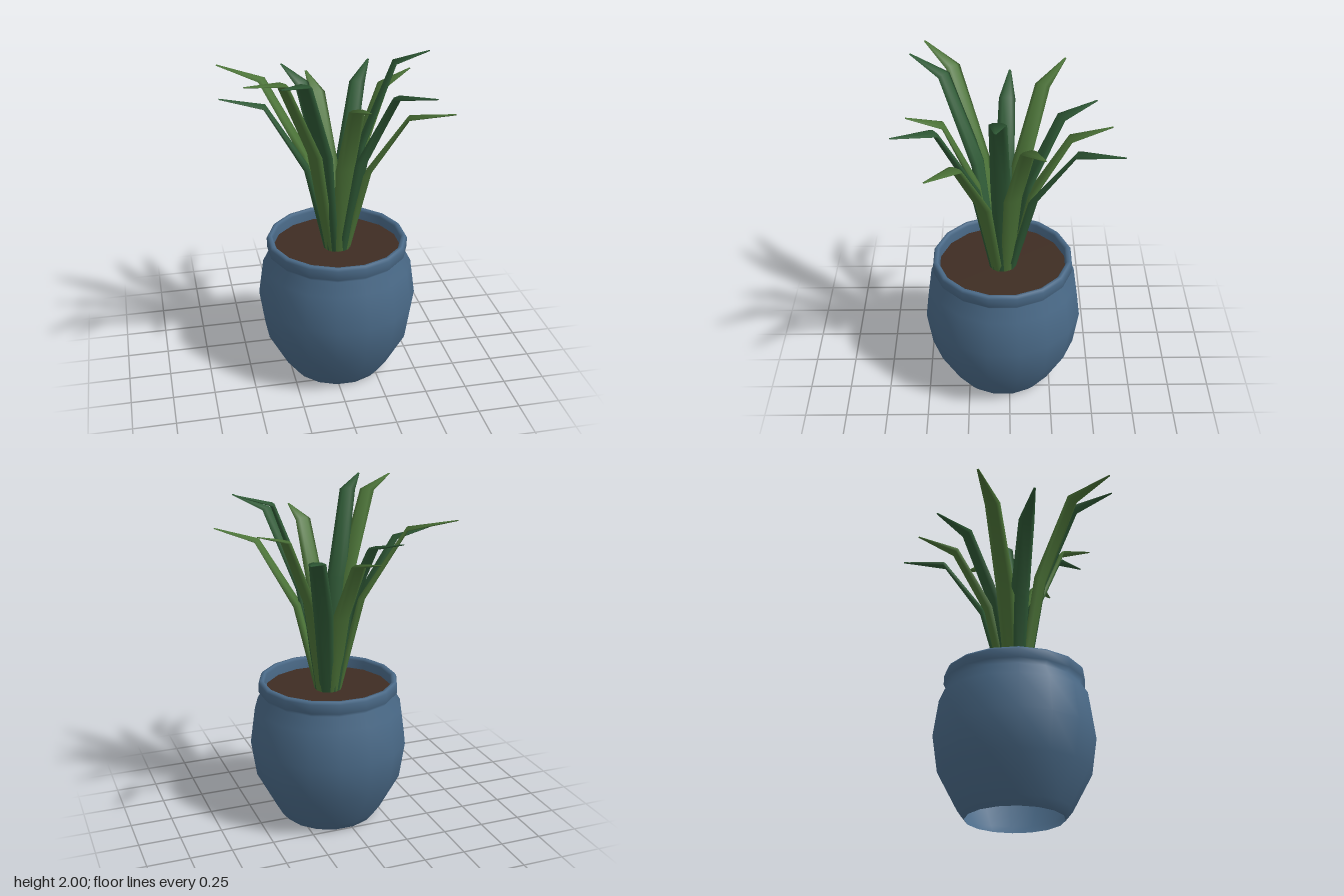
import * as THREE from 'three';

const CX = 0.045, CZ = 0.04, SIDES = 16, SOIL_Y = 0.81;
const STEP = Math.PI / SIDES;

const mat = (color) => new THREE.MeshStandardMaterial({ color });

// Arching blade: flattened hexagonal sections along a bent spine in the local xy plane
function leafGeometry(reach, height) {
  const rise = height - 0.05 - SOIL_Y;
  const spine = [[0.055, SOIL_Y - 0.02], [0.27 * reach, SOIL_Y + 0.57 * rise],
    [0.62 * reach, height - 0.058], [reach, height]].map((p) => new THREE.Vector2(...p));
  const halfWidth = [0.04, 0.057, 0.048, 0.007];
  const halfThick = [0.022, 0.02, 0.012, 0.003];
  const N = 6, pos = [], idx = [];
  spine.forEach((p, i) => {
    const before = spine[Math.max(i - 1, 0)], after = spine[Math.min(i + 1, 3)];
    const a = p.clone().sub(before).normalize(), b = after.clone().sub(p).normalize();
    const t = a.add(b).normalize();
    for (let k = 0; k < N; k++) {
      const ang = (k / N) * Math.PI * 2;
      const w = Math.cos(ang) * halfWidth[i], d = Math.sin(ang) * halfThick[i];
      pos.push(p.x + t.y * d, p.y - t.x * d, w);
    }
  });
  for (let i = 0; i < 3; i++) {
    for (let k = 0; k < N; k++) {
      const a = i * N + k, b = i * N + (k + 1) % N;
      idx.push(a, b, a + N, b, b + N, a + N);
    }
  }
  // Close the tip and the root
  for (let k = 1; k < N - 1; k++) {
    idx.push(3 * N, 3 * N + k, 3 * N + k + 1);
    idx.push(0, k + 1, k);
  }
  const geo = new THREE.BufferGeometry();
  geo.setAttribute('position', new THREE.Float32BufferAttribute(pos, 3));
  geo.setIndex(idx);
  geo.computeVertexNormals();
  return geo;
}

export function createModel() {
  const model = new THREE.Group();
  model.name = 'pottedPlant';
  const greens = [mat(0x2f5a36), mat(0x4c7438)];

  // Rounded pot, open underneath, with a collar rim; radii are measured to the flats
  const profile = [[0.28, 0], [0.32, 0.05], [0.435, 0.27], [0.467, 0.49], [0.437, 0.71], [0.39, 0.785],
    [0.412, 0.81], [0.412, 0.865], [0.402, 0.88], [0.385, 0.88], [0.375, 0.865], [0.375, 0.79]]
    .map(([r, y]) => new THREE.Vector2(r / Math.cos(STEP), y));
  const blue = mat(0x4a6a88);
  blue.side = THREE.DoubleSide;
  const pot = new THREE.Mesh(new THREE.LatheGeometry(profile, SIDES, STEP), blue);
  pot.name = 'pot';
  pot.position.set(CX, 0, CZ);

  // Soil disc just below the rim
  const brown = mat(0x3f2d23);
  brown.side = THREE.DoubleSide;
  const soil = new THREE.Mesh(new THREE.CircleGeometry(0.378 / Math.cos(STEP), SIDES, STEP), brown);
  soil.name = 'soil';
  soil.rotation.x = -Math.PI / 2;
  soil.position.set(CX, SOIL_Y, CZ);
  model.add(pot, soil);

  // Leaf tips: x, y, z, going round the pot with alternating greens
  const tips = [
    [0.38, 1.75, -0.61], [0.525, 1.82, -0.18], [0.56, 2.0, 0.075], [0.61, 1.75, 0.435],
    [0.445, 1.91, 0.61], [0.105, 1.84, 0.56], [-0.355, 2.0, 0.56], [-0.53, 2.0, 0.485],
    [-0.615, 1.77, -0.01], [-0.59, 1.86, -0.34], [-0.185, 1.79, -0.5], [-0.02, 1.71, -0.58],
  ];
  const leaves = new THREE.Group();
  leaves.name = 'leaves';
  tips.forEach(([x, y, z], i) => {
    const dx = x - CX, dz = z - CZ;
    const leaf = new THREE.Mesh(leafGeometry(Math.hypot(dx, dz), y), greens[i % 2]);
    leaf.rotation.y = Math.atan2(-dz, dx);
    leaf.name = 'leaf' + (i + 1);
    leaves.add(leaf);
  });
  leaves.position.set(CX, 0, CZ);
  model.add(leaves);
  return model;
}
